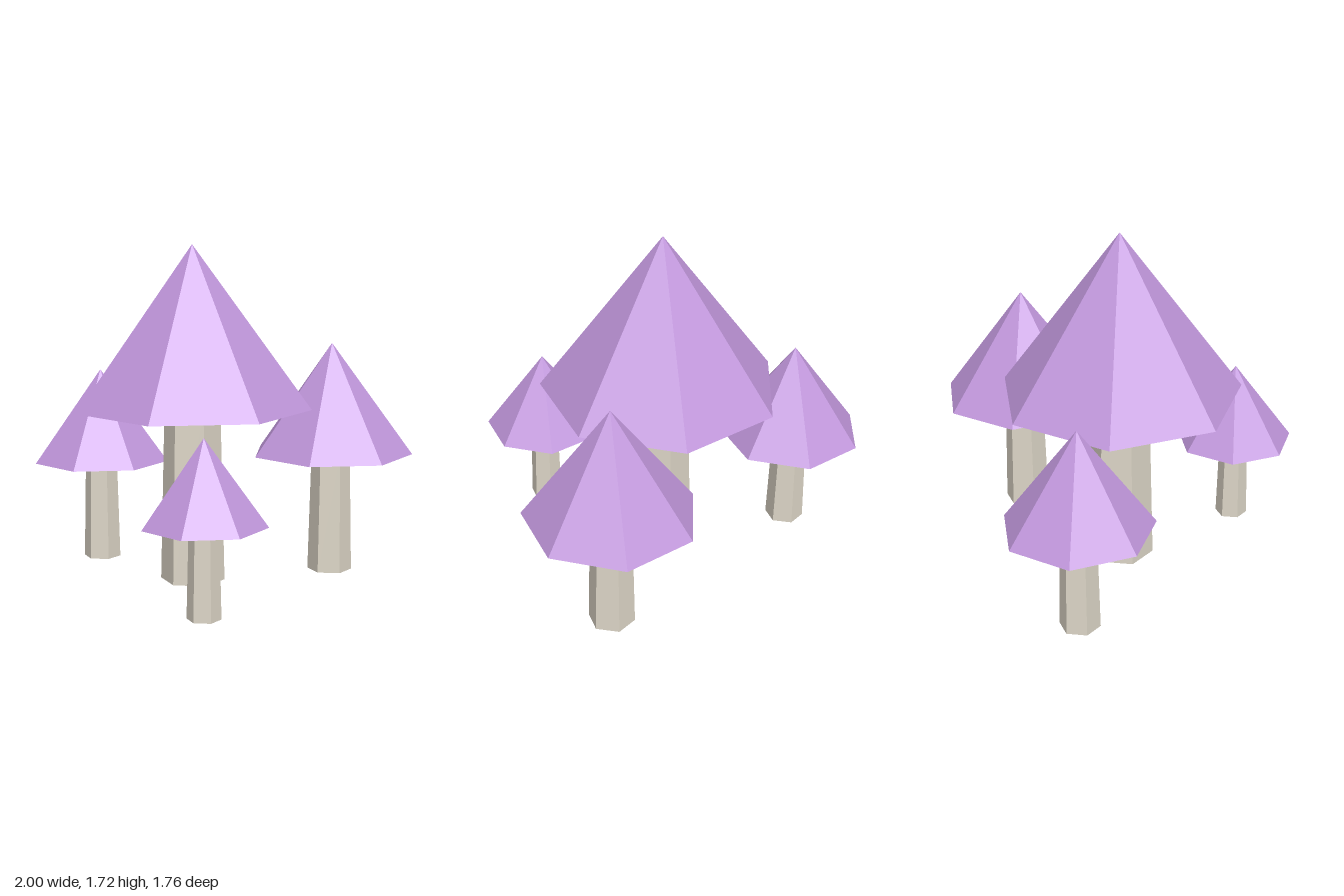
import * as THREE from 'three';

// One mushroom at full size: tapered six-sided stem, seven-sided pointed cap
const STEM_HEIGHT = 0.89;
const CAP_HEIGHT = 0.825;
const CAP_RADIUS = 0.605;

export function createModel() {
  const capMaterial = new THREE.MeshStandardMaterial({ color: 0xc096db, flatShading: true });
  capMaterial.name = 'lilac cap';
  const stemMaterial = new THREE.MeshStandardMaterial({ color: 0xded7c8, flatShading: true });
  stemMaterial.name = 'cream stem';

  // Both shapes have a corner pointing to +x
  const stemGeometry = new THREE.CylinderGeometry(0.143, 0.165, STEM_HEIGHT, 6, 1, false, Math.PI / 2);
  stemGeometry.translate(0, STEM_HEIGHT / 2, 0);
  const capGeometry = new THREE.ConeGeometry(CAP_RADIUS, CAP_HEIGHT, 7, 1, false, Math.PI / 2);
  capGeometry.translate(0, STEM_HEIGHT + CAP_HEIGHT / 2, 0);

  function mushroom(name, x, z, scale) {
    const group = new THREE.Group();
    group.name = name;
    const stem = new THREE.Mesh(stemGeometry, stemMaterial);
    stem.name = 'stem';
    const cap = new THREE.Mesh(capGeometry, capMaterial);
    cap.name = 'cap';
    group.add(stem, cap);
    group.position.set(x, 0, z);
    group.scale.setScalar(scale);
    return group;
  }

  const model = new THREE.Group();
  model.name = 'mushroomCluster';
  model.add(
    mushroom('largeMushroom', -0.12, -0.11, 1),
    mushroom('leftMushroom', 0.575, -0.39, 0.7),
    mushroom('rightMushroom', -0.672, -0.53, 0.6),
    mushroom('frontMushroom', 0.018, 0.58, 0.5),
  );
  return model;
}
